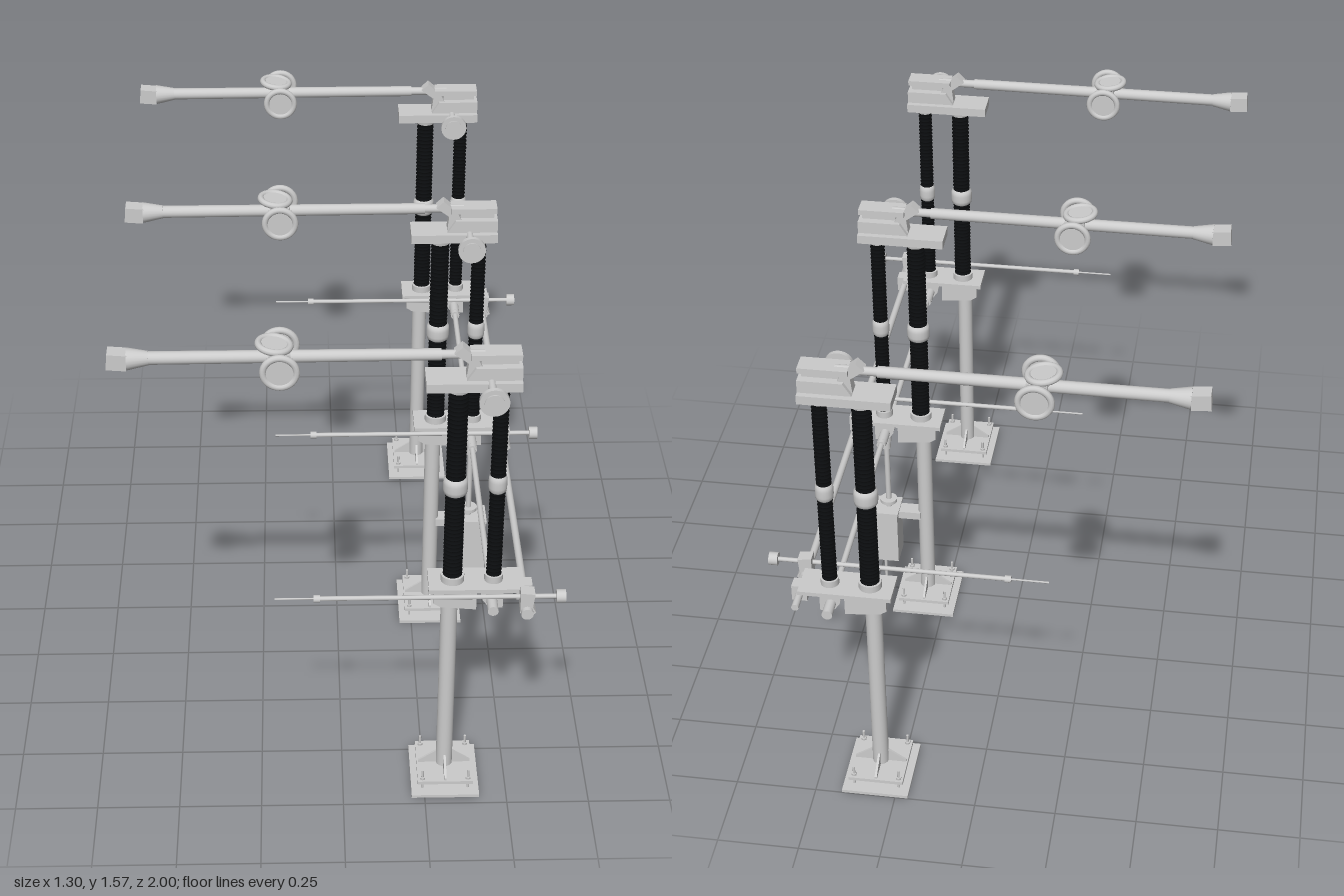
import * as THREE from 'three';

const grey = new THREE.MeshStandardMaterial({ color: 0xcccccc, side: THREE.DoubleSide });
const black = new THREE.MeshStandardMaterial({ color: 0x0b0d0f, side: THREE.DoubleSide });

function add(parent, name, geometry, x, y, z, material = grey) {
  const mesh = new THREE.Mesh(geometry, material);
  mesh.name = name;
  mesh.position.set(x, y, z);
  parent.add(mesh);
  return mesh;
}

// Box given by its x, y and z ranges
function box(parent, name, [x0, x1], [y0, y1], [z0, z1]) {
  return add(parent, name, new THREE.BoxGeometry(x1 - x0, y1 - y0, z1 - z0),
    (x0 + x1) / 2, (y0 + y1) / 2, (z0 + z1) / 2);
}

// Cylinder or cone running between two points
function rod(parent, name, a, b, r0, r1 = r0, sides = 20) {
  const p = new THREE.Vector3(...a), q = new THREE.Vector3(...b);
  const mesh = add(parent, name, new THREE.CylinderGeometry(r1, r0, p.distanceTo(q), sides),
    (p.x + q.x) / 2, (p.y + q.y) / 2, (p.z + q.z) / 2);
  mesh.quaternion.setFromUnitVectors(new THREE.Vector3(0, 1, 0), q.sub(p).normalize());
  return mesh;
}

// Flat outline in x and y, extruded evenly about z
function plate(parent, name, points, depth, z = 0) {
  const shape = new THREE.Shape(points.map(([x, y]) => new THREE.Vector2(x, y)));
  const g = new THREE.ExtrudeGeometry(shape, { depth, bevelEnabled: false });
  return add(parent, name, g.translate(0, 0, -depth / 2), 0, 0, z);
}

// Stack of weather sheds
function sheds(parent, x, y0, y1, r) {
  const count = 22, step = (y1 - y0) / count, pts = [];
  for (let i = 0; i < count; i++) {
    const y = y0 + i * step;
    pts.push(new THREE.Vector2(r * 0.74, y), new THREE.Vector2(r, y + step * 0.35),
      new THREE.Vector2(r * 0.96, y + step * 0.5));
  }
  pts.push(new THREE.Vector2(r * 0.74, y1));
  add(parent, 'insulatorSheds', new THREE.LatheGeometry(pts, 20), x, 0, 0, black);
}

function insulator(x, r, jointR, jointY) {
  const g = new THREE.Group();
  g.name = 'insulator';
  rod(g, 'bottomFlange', [x, 0.745, 0], [x, 0.768, 0], r * 1.2);
  sheds(g, x, 0.765, jointY - 0.025, r);
  const profile = [[0.75, -0.028], [0.95, -0.022], [1, -0.01], [1, 0.01], [0.95, 0.022], [0.75, 0.028]]
    .map(([k, y]) => new THREE.Vector2(k * jointR, y));
  add(g, 'joint', new THREE.LatheGeometry(profile, 20), x, jointY, 0);
  sheds(g, x, jointY + 0.025, 1.405, r);
  rod(g, 'topFlange', [x, 1.4, 0], [x, 1.425, 0], r * 1.05, r * 1.2);
  return g;
}

// Ring with a closed centre, axis along z
function shieldDisc(parent, x, y, z, r) {
  const g = new THREE.Group();
  g.name = 'shieldDisc';
  g.position.set(x, y, z);
  add(g, 'rim', new THREE.TorusGeometry(r - 0.01, 0.01, 10, 32), 0, 0, 0);
  rod(g, 'face', [0, 0, -0.005], [0, 0, 0.005], r - 0.012, r - 0.012, 32);
  parent.add(g);
  return g;
}

function support() {
  const g = new THREE.Group(), cx = 0.314;
  g.name = 'support';
  box(g, 'groundPlate', [0.21, 0.417], [0, 0.01], [-0.117, 0.117]);
  box(g, 'columnFoot', [cx - 0.085, cx + 0.085], [0.034, 0.045], [-0.095, 0.095]);
  rod(g, 'column', [cx, 0.04, 0], [cx, 0.735, 0], 0.025, 0.025, 28);
  for (const sx of [-1, 1]) for (const sz of [-1, 1]) {
    const x = cx + sx * 0.07, z = sz * 0.08;
    rod(g, 'anchorBolt', [x, 0.008, z], [x, 0.078, z], 0.004, 0.004, 8);
    for (const y of [0.029, 0.045]) rod(g, 'anchorNut', [x, y, z], [x, y + 0.007, z], 0.009, 0.009, 6);
  }
  for (let i = 0; i < 4; i++) {
    const len = i % 2 ? 0.09 : 0.08;
    const rib = plate(g, 'footRib', [[0.02, 0.045], [len, 0.045], [len, 0.052], [0.025, 0.09], [0.02, 0.09]], 0.007);
    rib.position.x = cx;
    rib.rotation.y = i * Math.PI / 2;
  }
  // Head of the column and the platform
  box(g, 'platform', [0.25, 0.53], [0.733, 0.746], [-0.055, 0.055]);
  rod(g, 'columnHead', [cx, 0.715, 0], [cx, 0.734, 0], 0.05);
  for (const z of [-0.045, 0.045])
    plate(g, 'headBracket', [[0.265, 0.734], [0.265, 0.695], [0.285, 0.682], [0.39, 0.672], [0.39, 0.734]], 0.012, z);
  plate(g, 'gearbox', [[0.40, 0.734], [0.41, 0.69], [0.43, 0.662], [0.47, 0.662], [0.47, 0.734]], 0.06);
  for (const s of [-1, 1]) rod(g, 'shaftHub', [0.437, 0.69, s * 0.025], [0.437, 0.69, s * 0.085], 0.016);
  return g;
}

function head() {
  const g = new THREE.Group();
  g.name = 'switchHead';
  box(g, 'headBeam', [0.228, 0.495], [1.418, 1.446], [-0.047, 0.047]);
  plate(g, 'headHousing', [[0.34, 1.445], [0.365, 1.485], [0.495, 1.485], [0.495, 1.43], [0.34, 1.43]], 0.06);
  plate(g, 'hingeWedge', [[0.305, 1.525], [0.328, 1.547], [0.37, 1.51], [0.40, 1.45], [0.34, 1.45], [0.345, 1.495]], 0.036);
  box(g, 'terminalPlate', [0.35, 0.492], [1.51, 1.527], [-0.03, 0.03]);
  box(g, 'terminalWeb', [0.38, 0.485], [1.48, 1.512], [-0.006, 0.006]);
  // Side disc on a short shaft
  rod(g, 'sideShaft', [0.409, 1.44, 0.03], [0.409, 1.44, 0.13], 0.011);
  rod(g, 'sideDisc', [0.409, 1.44, 0.124], [0.409, 1.44, 0.138], 0.042, 0.042, 32);
  rod(g, 'sideDiscHub', [0.409, 1.44, 0.136], [0.409, 1.44, 0.142], 0.028);
  // Contact arm
  rod(g, 'armTube', [-0.54, 1.513, 0], [0.27, 1.516, 0], 0.019, 0.017);
  rod(g, 'armRoot', [0.26, 1.516, 0], [0.39, 1.516, 0], 0.013);
  rod(g, 'armCone', [-0.595, 1.511, 0], [-0.535, 1.513, 0], 0.032, 0.02);
  const tip = box(g, 'armTip', [-0.65, -0.594], [1.487, 1.535], [-0.024, 0.024]);
  tip.rotation.z = -0.08;
  // Shield discs around the arm
  box(g, 'discMount', [-0.205, -0.145], [1.482, 1.537], [-0.035, 0.035]);
  rod(g, 'discAxle', [-0.175, 1.507, -0.075], [-0.175, 1.507, 0.075], 0.012);
  for (const z of [-0.075, 0.075]) shieldDisc(g, -0.175, 1.507, z, 0.056);
  const top = shieldDisc(g, -0.19, 1.552, 0, 0.054);
  top.rotation.set(Math.PI / 2, -0.12, 0);
  return g;
}

function earthBlade() {
  const g = new THREE.Group(), y = 0.746, z = 0.087;
  g.name = 'earthBlade';
  rod(g, 'bladeTip', [-0.2, y, z], [-0.07, y, z], 0.003, 0.003, 8);
  rod(g, 'bladeCollar', [-0.087, y, z], [-0.068, y, z], 0.011);
  rod(g, 'bladeTube', [-0.07, y, z], [0.62, y, z], 0.007, 0.007, 14);
  rod(g, 'counterweight', [0.618, y, z], [0.645, y, z], 0.02);
  plate(g, 'bladeClamp', [[0.513, 0.77], [0.513, 0.70], [0.535, 0.682], [0.56, 0.70], [0.55, 0.72], [0.555, 0.765]], 0.04, z);
  rod(g, 'clampCollar', [0.533, 0.705, z - 0.035], [0.533, 0.705, z + 0.035], 0.018);
  box(g, 'barBearing', [0.51, 0.556], [0.683, 0.735], [-0.02, 0.02]);
  return g;
}

function motorDrive() {
  const g = new THREE.Group();
  g.name = 'motorDrive';
  box(g, 'cabinet', [0.405, 0.496], [0.166, 0.365], [-0.046, 0.046]);
  box(g, 'cabinetLid', [0.402, 0.499], [0.36, 0.368], [-0.049, 0.049]);
  box(g, 'cabinetBracket', [0.33, 0.41], [0.336, 0.363], [-0.025, 0.025]);
  rod(g, 'conduit', [0.459, 0, 0], [0.459, 0.17, 0], 0.005, 0.005, 12);
  rod(g, 'driveShaft', [0.44, 0.365, 0], [0.44, 0.67, 0], 0.009);
  rod(g, 'lowerCoupling', [0.44, 0.388, 0], [0.44, 0.4, 0], 0.028);
  rod(g, 'upperCoupling', [0.44, 0.61, 0], [0.44, 0.635, 0], 0.014);
  rod(g, 'upperCouplingCap', [0.44, 0.638, 0], [0.44, 0.664, 0], 0.017);
  return g;
}

export function createModel() {
  const model = new THREE.Group();
  model.name = 'threePoleDisconnector';
  const rows = [-0.882, -0.013, 0.857];

  // One complete pole, repeated in a row
  const pole = new THREE.Group();
  pole.name = 'pole';
  pole.add(support(), insulator(0.321, 0.029, 0.036, 1.08),
    insulator(0.442, 0.023, 0.027, 1.086), head(), earthBlade());
  rows.forEach((z) => {
    const copy = pole.clone();
    copy.position.z = z;
    model.add(copy);
  });

  const drive = motorDrive();
  drive.position.z = rows[1];
  model.add(drive);

  // Bars linking the poles
  rod(model, 'earthingBar', [0.533, 0.705, -0.963], [0.533, 0.705, 0.95], 0.011);
  for (let i = 0; i < 2; i++) {
    const a = rows[i] + 0.06, b = rows[i + 1] - 0.06;
    rod(model, 'linkBar', [0.437, 0.69, a], [0.437, 0.69, b], 0.009);
    for (const z of [a, b - 0.04]) rod(model, 'linkCoupling', [0.437, 0.69, z], [0.437, 0.69, z + 0.04], 0.015);
  }
  return model;
}
